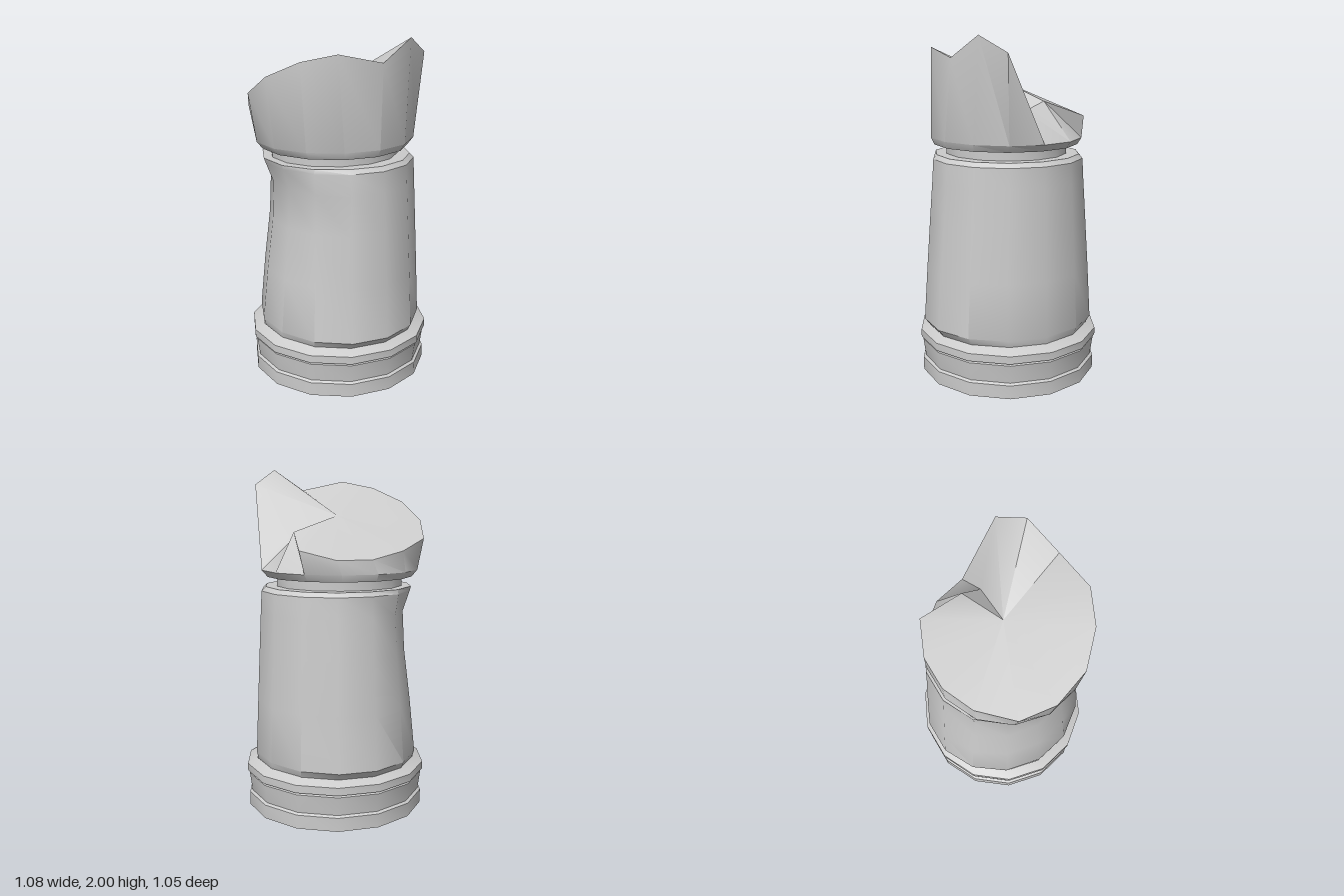
import * as THREE from 'three';
import { toCreasedNormals } from 'three/addons/utils/BufferGeometryUtils.js';

const SIDES = 14;

// one 14-sided cross-section; fn(cos, sin, k) gives a corner
const ring = (fn) => Array.from({ length: SIDES }, (_, k) => {
  const a = (k / SIDES) * Math.PI * 2;
  return fn(Math.cos(a), Math.sin(a), k);
});
const circle = (r, y) => ring((c, s) => [r * c, y, r * s]);

// skin a stack of rings, optionally closed by a fan to an apex
function loft(name, rings, apex) {
  const pos = [];
  const tri = (...corners) => corners.forEach((p) => pos.push(...p));
  for (let i = 0; i + 1 < rings.length; i++) {
    for (let k = 0; k < SIDES; k++) {
      const n = (k + 1) % SIDES, a = rings[i], b = rings[i + 1];
      tri(a[k], b[k], b[n]);
      tri(a[k], b[n], a[n]);
    }
  }
  if (apex) {
    const top = rings[rings.length - 1];
    for (let k = 0; k < SIDES; k++) tri(apex, top[(k + 1) % SIDES], top[k]);
  }
  const geo = new THREE.BufferGeometry();
  geo.setAttribute('position', new THREE.Float32BufferAttribute(pos, 3));
  const mat = new THREE.MeshStandardMaterial({ color: 0xcccccc, side: THREE.DoubleSide });
  const mesh = new THREE.Mesh(toCreasedNormals(geo, 0.6), mat);
  mesh.name = name;
  return mesh;
}

export function createModel() {
  const group = new THREE.Group();

  // hollow base: inner wall, foot band, plinth, flange
  const base = [
    [0.47, 0.25], [0.5, 0.2], [0.505, 0], [0.53, 0], [0.53, 0.08], [0.515, 0.09],
    [0.53, 0.2], [0.515, 0.205], [0.515, 0.215], [0.54, 0.215], [0.54, 0.26], [0.48, 0.29],
  ];
  group.add(loft('base', base.map(([r, y]) => circle(r, y))));

  // tapered shaft, dented on its right side and flared there at the lip
  const dent = { 5: 0.5, 6: 0.9, 7: 1, 8: 0.9, 9: 0.5 };
  const shaft = [ // y, x radius, z radius, dent depth
    [0.285, 0.475, 0.485, 0], [0.33, 0.485, 0.52, 0], [0.65, 0.471, 0.497, 0.02],
    [0.95, 0.457, 0.473, 0.045], [1.18, 0.446, 0.454, 0.045],
    [1.3, 0.44, 0.446, -0.006], [1.325, 0.415, 0.425, -0.04], [1.325, 0.34, 0.34, 0],
  ];
  group.add(loft('shaft', shaft.map(([y, rx, rz, d]) => ring((c, s, k) => {
    const w = d * (dent[k] || 0);
    return [(rx - w) * c, y, (rz - w) * s];
  }))));

  // broken head: the rim is [x, y, z] per corner, the last and first are pushed in as a notch
  const rim = [
    [0.255, 1.59, 0.02], [0.43, 1.91, 0.22], [0.295, 2, 0.325], [0.1, 1.88, 0.4],
    [-0.16, 1.935, 0.41], [-0.34, 1.895, 0.33], [-0.485, 1.81, 0.19], [-0.535, 1.7, 0],
    [-0.485, 1.6, -0.19], [-0.3, 1.54, -0.35], [-0.1, 1.5, -0.425], [0.1, 1.5, -0.425],
    [0.29, 1.55, -0.34], [0.265, 1.64, -0.09],
  ];
  const oval = (rx, rz, y) => ring((c, s) => [-0.028 + rx * c, y, rz * s]);
  group.add(loft('head', [
    oval(0.43, 0.425, 1.38), oval(0.465, 0.443, 1.42), rim,
  ], [-0.015, 1.73, 0]));

  // recessed neck and the underside of the head
  group.add(loft('neck', [
    oval(0.375, 0.354, 1.3), oval(0.375, 0.354, 1.38), oval(0.43, 0.425, 1.38),
  ]));

  return group;
}
